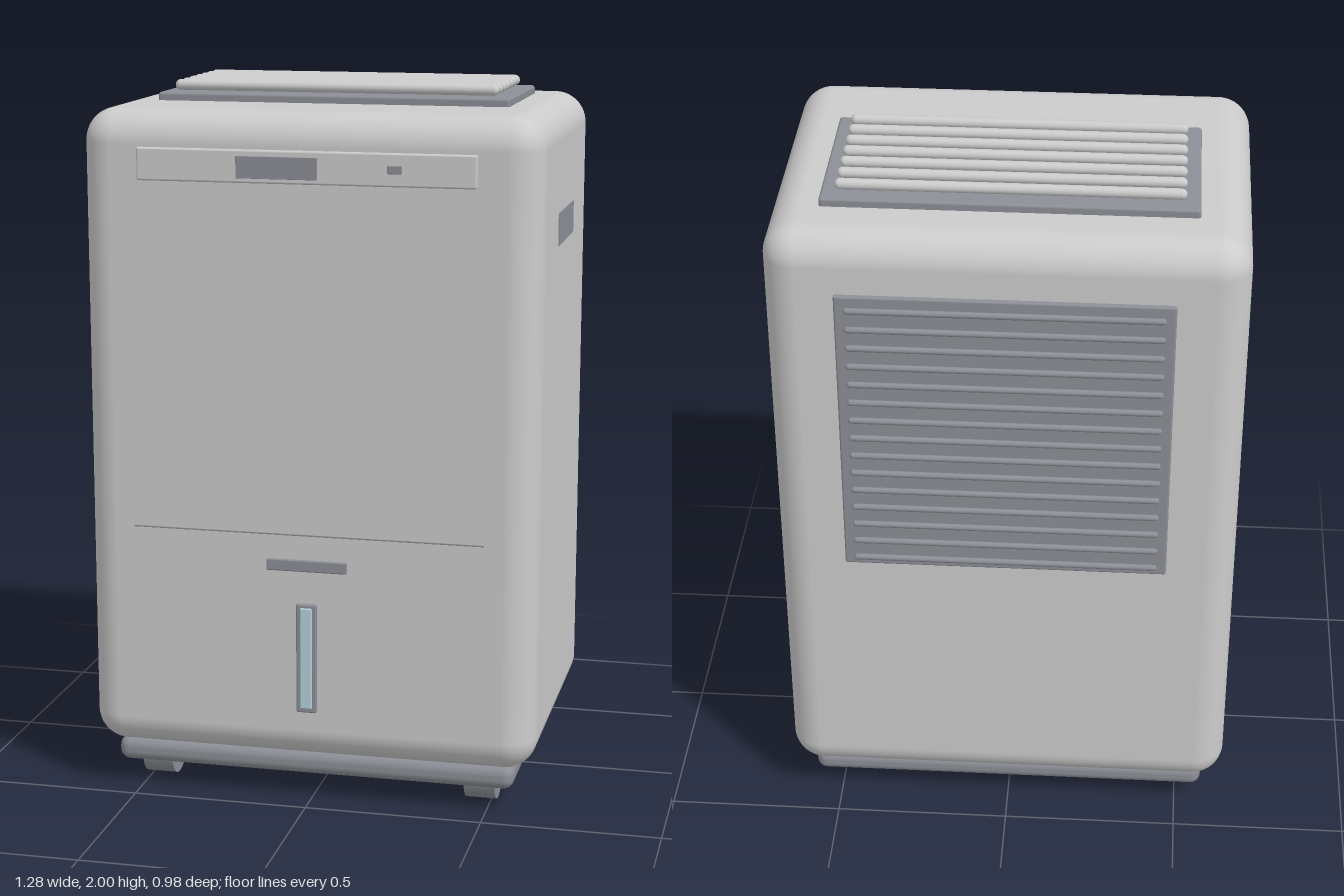
import * as THREE from 'three';
import { RoundedBoxGeometry } from 'three/addons/geometries/RoundedBoxGeometry.js';

const material = (color) => new THREE.MeshStandardMaterial({ color });

export function createModel() {
  const model = new THREE.Group();
  const shell = material(0xcccccc);
  const trim = material(0x8c8f96);
  const glass = material(0xb4d2dc);

  function add(name, geometry, mat, x, y, z, parent = model) {
    const mesh = new THREE.Mesh(geometry, mat);
    mesh.name = name;
    mesh.position.set(x, y, z);
    parent.add(mesh);
    return mesh;
  }

  // Box given by its limits on each axis, with rounded edges
  function block(name, [x0, x1], [y0, y1], [z0, z1], radius, mat, segments = 2) {
    const geometry = new RoundedBoxGeometry(x1 - x0, y1 - y0, z1 - z0, segments, radius);
    return add(name, geometry, mat, (x0 + x1) / 2, (y0 + y1) / 2, (z0 + z1) / 2);
  }

  // Row of round-ended horizontal bars
  function slats(name, count, length, radius, mat, place) {
    const group = new THREE.Group();
    group.name = name;
    const geometry = new THREE.CapsuleGeometry(radius, length - 2 * radius, 6, 16);
    geometry.rotateZ(Math.PI / 2);
    for (let i = 0; i < count; i++) {
      const [y, z] = place(i);
      add('slat', geometry, mat, 0, y, z, group);
    }
    model.add(group);
  }

  // Cabinet and plinth
  block('body', [-0.637, 0.637], [0.13, 1.944], [-0.467, 0.473], 0.09, shell, 8);
  block('base', [-0.575, 0.575], [0.065, 0.135], [-0.405, 0.42], 0.03, trim, 5);

  // Casters
  const wheel = new THREE.CylinderGeometry(0.075, 0.075, 0.088, 32).rotateZ(Math.PI / 2);
  for (const x of [-0.472, 0.472]) {
    for (const z of [0.297, -0.283]) add('wheel', wheel, trim, x, 0.075, z);
  }

  // Top air outlet
  block('topVentPlate', [-0.499, 0.499], [1.93, 1.967], [-0.298, 0.173], 0.008, trim);
  slats('topVentSlats', 7, 0.924, 0.015, shell, (i) => [1.985, -0.245 + i * 0.0612]);

  // Rear air intake
  block('rearVentPlate', [-0.446, 0.446], [0.915, 1.78], [-0.479, -0.45], 0.006, trim);
  slats('rearVentSlats', 15, 0.84, 0.009, trim, (i) => [0.941 + i * 0.057, -0.481]);

  // Control panel with display and button
  block('controlPanel', [-0.469, 0.466], [1.755, 1.845], [0.455, 0.484], 0.006, shell);
  block('display', [-0.19, 0.035], [1.768, 1.828], [0.475, 0.4855], 0.001, trim);
  block('button', [0.225, 0.265], [1.79, 1.812], [0.475, 0.487], 0.002, trim);

  // Water tank seam, grip and level gauge
  block('tankSeam', [-0.495, 0.495], [0.783, 0.787], [0.465, 0.475], 0.0005, trim);
  block('tankGrip', [-0.114, 0.114], [0.682, 0.715], [0.46, 0.481], 0.004, trim);
  block('gaugeFrame', [-0.029, 0.029], [0.275, 0.59], [0.455, 0.485], 0.005, trim);
  block('gaugeWindow', [-0.017, 0.017], [0.287, 0.58], [0.47, 0.489], 0.004, glass);

  // Side grips
  for (const side of [-1, 1]) {
    add('sideGrip', new THREE.BoxGeometry(0.02, 0.09, 0.285), trim, side * 0.63, 1.61, 0.0075);
  }

  return model;
}
